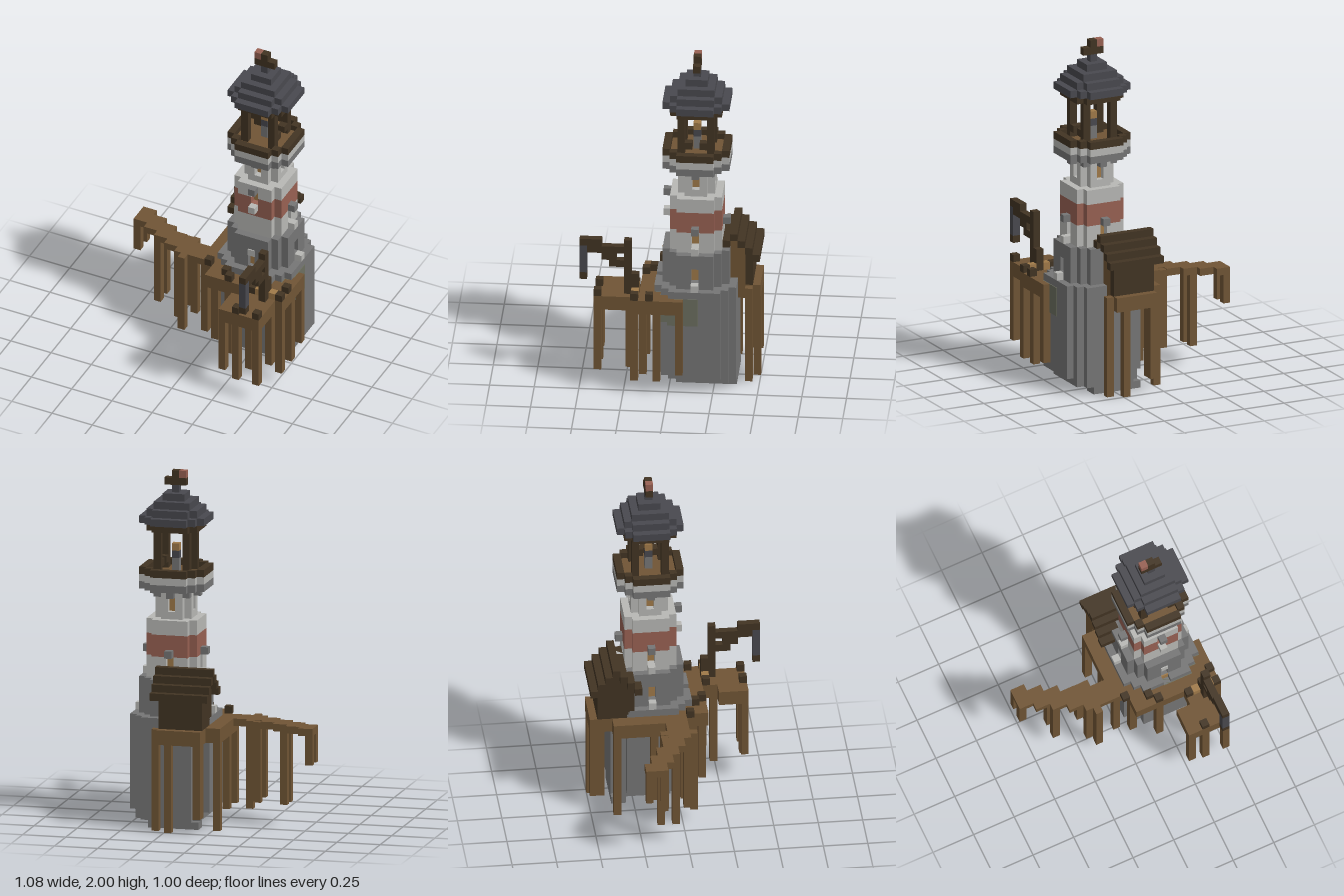
import * as THREE from 'three';
import { mergeGeometries } from 'three/addons/utils/BufferGeometryUtils.js';

const U = 1 / 24; // side of one block
const CX = 19, CZ = 8; // block column of the tower axis

const colours = {
  stone: 0x767676, plaster: 0xb8b8b5, redBand: 0x986153, slate: 0x49494f,
  wood: 0x705535, darkWood: 0x423423, amber: 0xa07a49, moss: 0x6c6f60,
};
const mats = {};
for (const [name, color] of Object.entries(colours)) {
  mats[name] = new THREE.MeshStandardMaterial({ color });
  mats[name].name = name;
}

// Box given by start and end block coordinates on each axis (end excluded)
function box(i0, i1, j0, j1, k0, k1) {
  const g = new THREE.BoxGeometry((i1 - i0) * U, (j1 - j0) * U, (k1 - k0) * U);
  return g.translate(((i0 + i1) / 2 - 13) * U, ((j0 + j1) / 2) * U, ((k0 + k1) / 2 - 12) * U);
}
const cell = (i, j, k) => box(i, i + 1, j, j + 1, k, k + 1);

// Stepped round slab around the tower axis, one box per row.
// niches lists the sides (l, r, f, b) where the middle block is left out.
function disc(R, j0, j1, niches = '', limit = (R + 0.85) ** 2) {
  const out = [];
  for (let d = -R; d <= R; d++) {
    let w = R;
    while (w * w + d * d > limit) w--;
    const x0 = CX - w + (d === 0 && niches.includes('r') ? 1 : 0);
    const x1 = CX + w + 1 - (d === 0 && niches.includes('l') ? 1 : 0);
    const z = CZ + d;
    if ((d === R && niches.includes('f')) || (d === -R && niches.includes('b'))) {
      out.push(box(x0, CX, j0, j1, z, z + 1), box(CX + 1, x1, j0, j1, z, z + 1));
    } else out.push(box(x0, x1, j0, j1, z, z + 1));
  }
  return out;
}

export function createModel() {
  const model = new THREE.Group();
  model.name = 'lighthouse';
  const add = (name, mat, ...parts) => {
    const mesh = new THREE.Mesh(mergeGeometries(parts.flat()), mats[mat]);
    mesh.name = name;
    model.add(mesh);
  };

  // Tower, from the stepped footing up, with niches for the door and windows
  add('footing', 'stone', box(15, 22, 0, 1, 3, 5), box(15, 24, 1, 2, 4, 11), box(16, 23, 1, 2, 3, 4));
  add('towerBase', 'stone', disc(5, 2, 14), disc(5, 14, 15, 'f'));
  add('mossPatch', 'moss', box(19, 25.1, 10, 14, 8, 12.1), box(19, 24.1, 10, 14, 8, 13.1), box(19, 23.1, 10, 14, 8, 14.1));
  add('lowerTower', 'stone', disc(4, 15, 16, 'f'), disc(4, 16, 17, 'flr'), disc(4, 17, 18, 'lr'), disc(4, 18, 20));
  add('middleTower', 'plaster', disc(3, 20, 21), disc(3, 21, 23, 'lrb'), disc(3, 26, 27, 'f'), disc(3, 27, 28));
  add('redStripe', 'redBand', disc(3, 23, 25), disc(3, 25, 26, 'f'));
  add('upperTower', 'plaster', disc(2, 28, 29, '', 5), disc(2, 29, 31, 'lrfb', 5), disc(2, 31, 32, '', 5));
  const brackets = [];
  for (const a of [-1, 1]) {
    brackets.push(cell(CX + 3 * a, 31, CZ), cell(CX, 31, CZ + 3 * a));
    for (const b of [-1, 1]) brackets.push(cell(CX + 2 * a, 31, CZ + 2 * b));
  }
  add('brackets', 'stone', brackets);
  add('corbel', 'stone', disc(4, 32, 33));
  add('gallery', 'plaster', disc(4, 33, 34));
  add('galleryFloor', 'wood', disc(3, 34, 34.2));

  // Gallery railing: the outline cells of the widest slab
  const rail = [];
  const inside = (a, b) => Math.abs(a) <= 4 && Math.abs(b) <= 4 && a * a + b * b < 23;
  for (let a = -4; a <= 4; a++) for (let b = -4; b <= 4; b++) {
    const edge = !inside(a + 1, b) || !inside(a - 1, b) || !inside(a, b + 1) || !inside(a, b - 1);
    if (inside(a, b) && edge) rail.push(cell(CX + a, 34, CZ + b));
  }
  add('galleryRailing', 'darkWood', rail);

  // Lamp room
  add('lampStand', 'stone', box(19, 20, 34, 36, 8, 9));
  add('lampBurner', 'slate', cell(19, 36, 8));
  add('lamp', 'amber', cell(19, 37, 8));
  const posts = [];
  for (const a of [-2, 2]) for (const b of [-2, 2]) posts.push(box(CX + a, CX + a + 1, 34, 40, CZ + b, CZ + b + 1));
  add('lampRoomPosts', 'darkWood', posts, cell(21, 35, 7), cell(21, 35, 9));
  add('roofSoffit', 'darkWood', disc(3, 40, 41));
  const roof = [];
  for (let R = 4; R >= 0; R--) roof.push(...disc(R, 45 - R, 46 - R));
  add('roof', 'slate', roof);
  add('weatherVane', 'darkWood', box(18, 21, 46, 47, 8, 9), cell(19, 47, 8));
  add('vaneTip', 'redBand', cell(18, 47, 8));

  // Windows: thin panes at the back of the niches, with sills and lintels
  const panes = [], sills = [], lintels = [];
  // Box on the side (sx, sz), reaching from distance a to b from the axis
  const onSide = (sx, sz, a, b, j0, j1) => {
    const span = (s, c) => (s === 0 ? [c, c + 1] : s > 0 ? [c + 0.5 + a, c + 0.5 + b] : [c + 0.5 - b, c + 0.5 - a]);
    const [x0, x1] = span(sx, CX), [z0, z1] = span(sz, CZ);
    return box(x0, x1, j0, j1, z0, z1);
  };
  for (const [sx, sz] of [[1, 0], [-1, 0], [0, 1], [0, -1]]) {
    const lift = sz > 0 ? 4 : 0;
    panes.push(onSide(sx, sz, 1.5, 1.65, 29, 31), onSide(sx, sz, 2.5, 2.65, 21 + lift, 23 + lift));
    sills.push(onSide(sx, sz, 3.5, 4.5, 20 + lift, 21 + lift));
    lintels.push(onSide(sx, sz, 3.5, 4.5, 23 + lift, 24 + lift));
    if (sx !== 0) {
      panes.push(onSide(sx, sz, 3.5, 3.65, 16, 18));
      sills.push(onSide(sx, sz, 4.5, 5.5, 15, 16));
    }
  }
  add('windows', 'amber', panes);
  add('windowSills', 'plaster', sills);
  add('windowLintels', 'stone', lintels);
  add('door', 'amber', onSide(0, 1, 3.5, 3.65, 15, 17), onSide(0, 1, 4.5, 4.65, 14, 15));
  add('doorLintel', 'plaster', onSide(0, 1, 4.5, 4.65, 17, 18));

  // Wooden decks around the tower and the front landing
  add('deck', 'wood',
    box(12, 15, 12, 14, 3, 13), box(14, 24, 12, 14, 12, 16), box(24, 26, 12, 14, 10, 16),
    box(21, 26, 12, 14, 16, 17), box(21, 25, 12, 14, 17, 22), box(19, 21, 12, 14, 18, 22),
    box(14, 20, 12, 14, 0, 4));

  // Walkway stepping out sideways
  const walk = [];
  for (let s = 0; s < 6; s++) {
    const k = Math.min(6 + s, 10);
    walk.push(box(s * 2, s * 2 + 2, 13, 14, k, k + 3));
  }
  add('walkway', 'wood', walk);

  // Piles: column i, row k, foot height
  const piles = [
    [0, 6, 9], [0, 8, 9], [4, 8, 3], [4, 10, 3], [8, 9, 3], [8, 12, 3], [9, 9, 2], [9, 13, 2],
    [12, 3, 0], [12, 8, 2], [12, 12, 2], [14, 13, 2], [17, 15, 2], [19, 21, 4], [21, 21, 3], [24, 21, 3],
    [21, 17, 2], [25, 16, 2], [25, 13, 2], [23, 15, 2], [25, 10, 3], [18, 0, 0], [14, 0, 2], [14, 1, 2], [20, 1, 0],
  ];
  add('piles', 'wood', piles.map(([i, k, j]) => box(i, i + 1, j, i === 9 ? 14 : 13.9, k, k + 1)));

  // Bollards along the deck edge
  const stubs = [[13, 13], [16, 14], [17, 15], [25, 14], [21, 21], [24, 21], [21, 16], [25, 16]];
  add('bollards', 'darkWood', stubs.map(([i, k]) => cell(i, 14, k)));
  add('crates', 'amber', cell(22, 14, 16), cell(24, 14, 16));

  // Cargo crane
  add('crane', 'darkWood', box(23, 24, 14, 22, 17, 18), box(23, 24, 14, 17, 16, 17),
    box(23, 24, 20, 21, 18, 23), box(23, 24, 21, 22, 21, 24),
    box(23, 24, 19, 20, 19, 21), box(23, 24, 18, 19, 18, 20), cell(23, 16, 23));
  add('craneChain', 'slate', box(23, 24, 17, 21, 23, 24));

  // Hut behind the tower with a stepped gable roof
  const slopes = [], gables = [], sideWall = [];
  for (let k = 0; k <= 6; k++) {
    const top = 22 - Math.abs(k - 3);
    slopes.push(box(13, 21, top - 1, top, k, k + 1));
    if (k > 1 && k < 6) {
      gables.push(box(15, 20, 14, top - 1, k, k + 1));
      sideWall.push(box(14, 15, 14, top - 1, k, k + 1));
    }
  }
  add('hutRoof', 'darkWood', slopes);
  add('hutWalls', 'wood', gables);
  add('hutDarkWalls', 'darkWood', sideWall, box(14, 20, 14, 19, 1, 2));

  return model;
}
